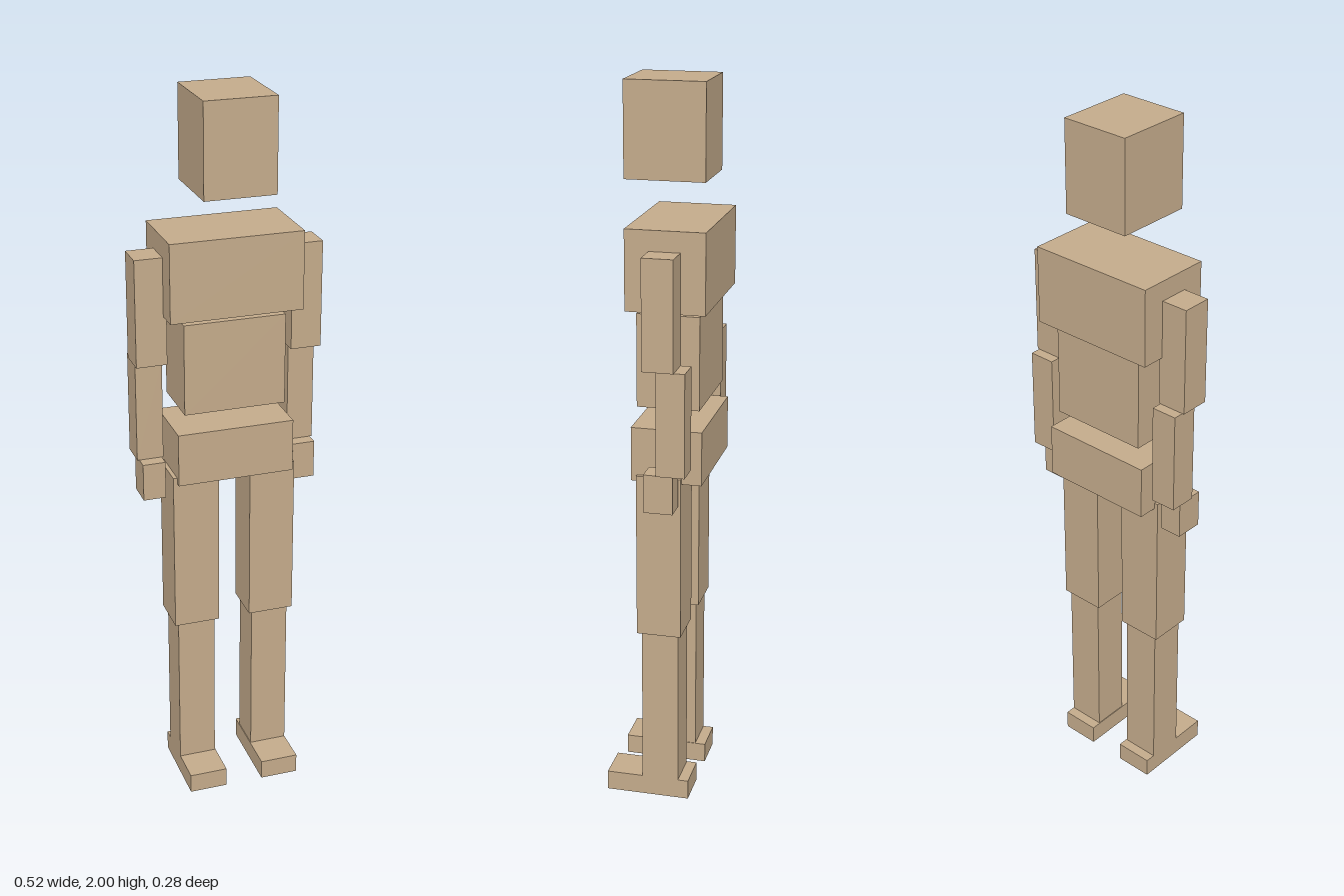
import * as THREE from 'three';

export function createModel() {
  const figure = new THREE.Group();
  figure.name = 'blockMannequin';
  const tan = new THREE.MeshStandardMaterial({ color: 0xc4ab8b });
  tan.name = 'tan';

  // Box spanning the given [min, max] ranges
  function block(name, [x0, x1], [y0, y1], [z0, z1], parent) {
    const mesh = new THREE.Mesh(new THREE.BoxGeometry(x1 - x0, y1 - y0, z1 - z0), tan);
    mesh.position.set((x0 + x1) / 2, (y0 + y1) / 2, (z0 + z1) / 2);
    mesh.name = name;
    parent.add(mesh);
  }

  // Head and torso, separated by gaps
  block('head', [-0.098, 0.098], [1.747, 2], [-0.12, 0.096], figure);
  block('chest', [-0.183, 0.183], [1.421, 1.637], [-0.141, 0.073], figure);
  block('abdomen', [-0.141, 0.141], [1.152, 1.406], [-0.117, 0.053], figure);
  block('pelvis', [-0.163, 0.163], [0.951, 1.1], [-0.129, 0.064], figure);

  // Arm and leg parts on the left side: name, x, y, z ranges
  const limbs = {
    Arm: [
      ['upperArm', [0.174, 0.259], [1.285, 1.582], [-0.075, 0.009]],
      ['forearm', [0.179, 0.253], [1.001, 1.285], [-0.104, -0.027]],
      ['hand', [0.184, 0.247], [0.895, 1.001], [-0.07, 0.009]],
    ],
    Leg: [
      ['thigh', [0.045, 0.174], [0.507, 0.968], [-0.075, 0.048]],
      ['shin', [0.056, 0.162], [0.056, 0.507], [-0.066, 0.037]],
      ['foot', [0.054, 0.162], [0, 0.056], [-0.095, 0.14]],
    ],
  };

  // Mirror each limb across x
  for (const [side, sign] of [['left', 1], ['right', -1]]) {
    for (const [limb, parts] of Object.entries(limbs)) {
      const group = new THREE.Group();
      group.name = side + limb;
      for (const [name, x, y, z] of parts) {
        block(name, sign > 0 ? x : [-x[1], -x[0]], y, z, group);
      }
      figure.add(group);
    }
  }
  return figure;
}
